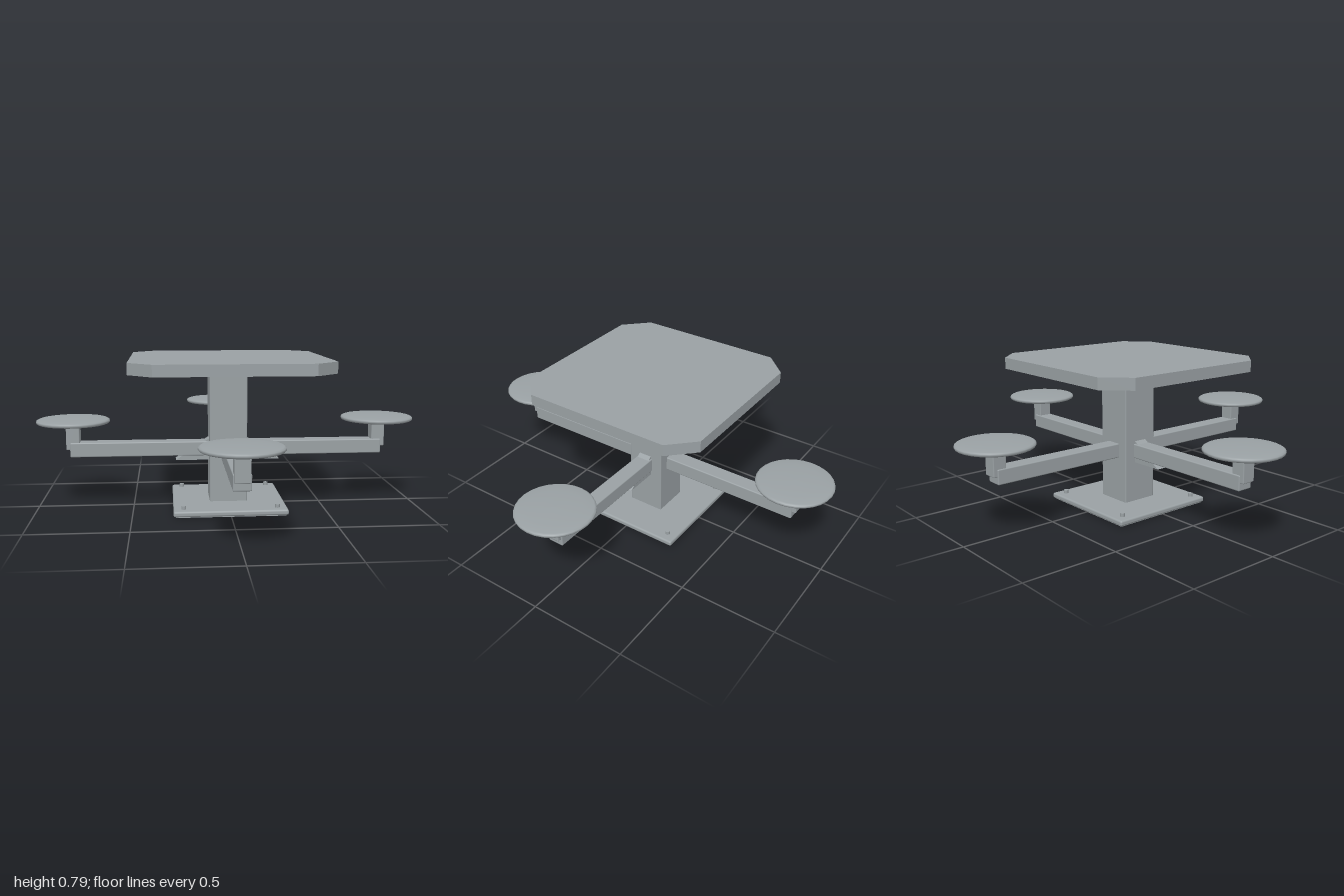
import * as THREE from 'three';
import { RoundedBoxGeometry } from 'three/addons/geometries/RoundedBoxGeometry.js';

const steel = new THREE.MeshStandardMaterial({ color: 0x9aa1a4 });
steel.name = 'grey steel';

function add(parent, name, geometry, x = 0, y = 0, z = 0) {
  const mesh = new THREE.Mesh(geometry, steel);
  mesh.name = name;
  mesh.position.set(x, y, z);
  parent.add(mesh);
  return mesh;
}

// Box spanning y0..y1 with softened edges
function bar(parent, name, w, y0, y1, d, r, x = 0, z = 0) {
  return add(parent, name, new RoundedBoxGeometry(w, y1 - y0, d, 2, r), x, (y0 + y1) / 2, z);
}

// Square slab with cut corners, lying flat
function tableTopGeometry(half, cut, thickness) {
  const a = half, b = half - cut;
  const shape = new THREE.Shape([
    [a, -b], [a, b], [b, a], [-b, a], [-a, b], [-a, -b], [-b, -a], [b, -a],
  ].map(([x, y]) => new THREE.Vector2(x, y)));
  return new THREE.ExtrudeGeometry(shape, { depth: thickness, bevelEnabled: false }).rotateX(-Math.PI / 2);
}

// Shallow domed disc with a rounded rim
function seatGeometry() {
  const profile = [
    [0, 0.446], [0.18, 0.446], [0.187, 0.449], [0.191, 0.456],
    [0.189, 0.463], [0.18, 0.468], [0.13, 0.472], [0.07, 0.475], [0, 0.476],
  ].map(([x, y]) => new THREE.Vector2(x, y));
  return new THREE.LatheGeometry(profile, 28);
}

export function createModel() {
  const table = new THREE.Group();
  table.name = 'picnicTable';

  add(table, 'tableTop', tableTopGeometry(0.505, 0.12, 0.058), 0, 0.732, 0);
  bar(table, 'column', 0.196, 0.02, 0.735, 0.196, 0.006);
  bar(table, 'basePlate', 0.585, 0.005, 0.034, 0.585, 0.01);
  add(table, 'baseUnderside', new THREE.BoxGeometry(0.56, 0.02, 0.56), 0, 0.01, 0);

  // Anchor bolts
  for (const x of [-0.24, 0.24])
    for (const z of [-0.24, 0.24])
      add(table, 'anchorBolt', new THREE.CylinderGeometry(0.012, 0.012, 0.024, 12), x, 0.04, z);

  // Four identical arms with posts and seats
  for (let i = 0; i < 4; i++) {
    const arm = new THREE.Group();
    arm.name = 'seatArm';
    arm.rotation.y = i * Math.PI / 2;
    bar(arm, 'beam', 0.745, 0.27, 0.346, 0.084, 0.006, 0.4525);
    bar(arm, 'seatPost', 0.07, 0.308, 0.452, 0.074, 0.005, 0.81);
    add(arm, 'seat', seatGeometry(), 0.808, 0, 0);
    table.add(arm);
  }

  // Triangular braces through the two side arms
  const gusset = new THREE.Shape([
    new THREE.Vector2(0.08, 0.246), new THREE.Vector2(0.275, 0.246),
    new THREE.Vector2(0.1, 0.36), new THREE.Vector2(0.08, 0.36),
  ]);
  for (const turn of [0, Math.PI]) {
    const geometry = new THREE.ExtrudeGeometry(gusset, { depth: 0.07, bevelEnabled: false });
    add(table, 'armBrace', geometry.translate(0, 0, -0.035)).rotation.y = turn;
  }
  return table;
}
